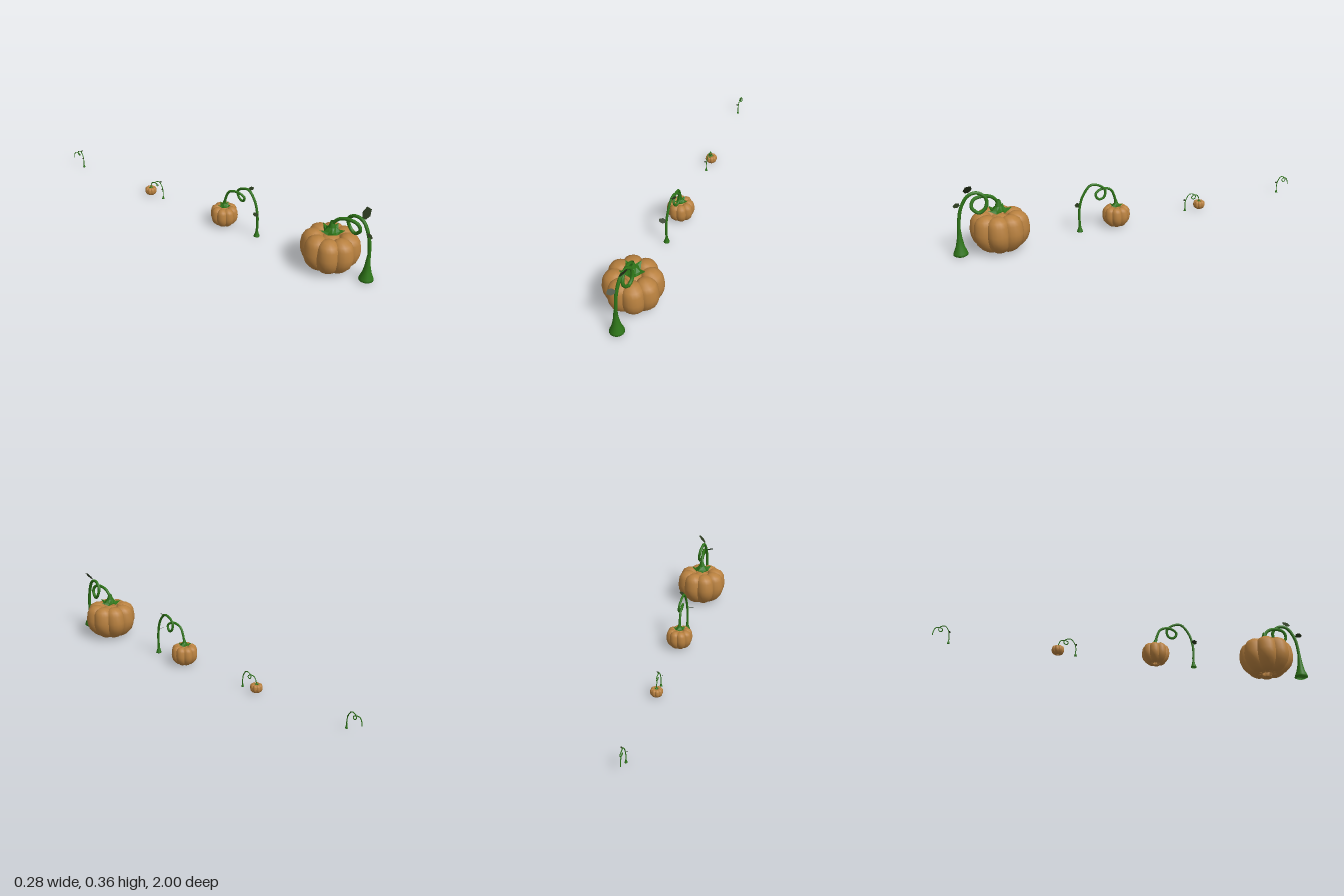
import * as THREE from 'three';
import { mergeVertices } from 'three/addons/utils/BufferGeometryUtils.js';

const mat = (color, side = THREE.FrontSide) => new THREE.MeshStandardMaterial({ color, side });
const orange = mat(0xb9813f);
const green = mat(0x2e7518, THREE.DoubleSide);
const leafGreen = mat(0x29381c, THREE.DoubleSide);

function add(parent, name, geometry, material) {
  const mesh = new THREE.Mesh(geometry, material);
  mesh.name = name;
  parent.add(mesh);
  return mesh;
}

// One pumpkin segment: stacked circles of radius r, shifted outward by d. Rows are [y, d, r].
const LOBE = [
  [0.018, 0.03, 0], [0.006, 0.045, 0.018], [0.008, 0.055, 0.03], [0.022, 0.065, 0.041],
  [0.05, 0.08, 0.051], [0.08, 0.088, 0.054], [0.107, 0.09, 0.055], [0.15, 0.087, 0.052],
  [0.172, 0.083, 0.044], [0.186, 0.08, 0.025], [0.189, 0.076, 0],
];
function lobeGeometry() {
  let geo = new THREE.LatheGeometry(LOBE.map(([y, , r]) => new THREE.Vector2(r, y)), 16);
  const p = geo.attributes.position;
  for (let i = 0; i < p.count; i++) p.setX(i, p.getX(i) + LOBE[i % LOBE.length][1]);
  geo.deleteAttribute('uv');
  geo.deleteAttribute('normal');
  geo = mergeVertices(geo, 1e-5);
  geo.computeVertexNormals();
  return geo;
}

function pumpkin(z, sx, sy) {
  const g = new THREE.Group();
  g.name = 'pumpkin';
  const lobe = lobeGeometry();
  for (let i = 0; i < 8; i++) {
    add(g, 'pumpkinSegment', lobe, orange).rotation.y = (i + 0.5) * Math.PI / 4;
  }
  const core = add(g, 'pumpkinCore', new THREE.SphereGeometry(1, 16, 10), orange);
  core.scale.set(0.075, 0.077, 0.075);
  core.position.y = 0.1;
  g.scale.set(sx, sy, sx);
  g.position.z = z;
  return g;
}

// Five-pointed cap whose tips curl up, running into the stem
function calyx(z, y, s) {
  const rings = [[0.009, 0.009, 0.058, 0.058], [0.018, 0.018, 0.028, 0.028], [0.038, 0.03, 0.01, 0.008], [0.063, 0.036, 0.018, -0.004]];
  const pos = [], idx = [];
  for (const [tip, gap, yTip, yGap] of rings) {
    for (let i = 0; i < 10; i++) {
      const a = i * Math.PI / 5 + 0.3, r = i % 2 ? gap : tip;
      pos.push(r * Math.sin(a), i % 2 ? yGap : yTip, r * Math.cos(a));
    }
  }
  for (let k = 0; k < rings.length - 1; k++) {
    for (let i = 0; i < 10; i++) {
      const a = k * 10 + i, b = k * 10 + (i + 1) % 10;
      idx.push(a, a + 10, b, b, a + 10, b + 10);
    }
  }
  const geo = new THREE.BufferGeometry();
  geo.setAttribute('position', new THREE.Float32BufferAttribute(pos, 3));
  geo.setIndex(idx);
  const flat = geo.toNonIndexed();
  flat.computeVertexNormals();
  const mesh = new THREE.Mesh(flat, green);
  mesh.name = 'calyx';
  mesh.position.set(0, y, z);
  mesh.scale.setScalar(s);
  return mesh;
}

// Flat leaf growing from base along dir, spread to both sides along wide
const LEAF = new THREE.Shape([[0, -0.2], [0.45, -0.5], [1, -0.3], [1, 0.3], [0.45, 0.5], [0, 0.2]]
  .map(([u, v]) => new THREE.Vector2(u, v)));
function leaf(base, dir, wide) {
  const u = new THREE.Vector3(...dir), v = new THREE.Vector3(...wide);
  const n = u.clone().cross(v).normalize();
  const m = new THREE.Matrix4().makeBasis(u, v, n).setPosition(...base);
  const geo = new THREE.ShapeGeometry(LEAF).applyMatrix4(m);
  geo.computeVertexNormals();
  const mesh = new THREE.Mesh(geo, leafGreen);
  mesh.name = 'leaf';
  return mesh;
}

// Vine paths as [x, y, z] with the root at z = 0
const BIG_VINE = [
  [0.003, 0.06, 0], [0.003, 0.15, 0], [0.005, 0.24, -0.015], [0.012, 0.3, -0.052],
  [0.017, 0.308, -0.095], [0.026, 0.278, -0.132], [0.032, 0.235, -0.127], [0.026, 0.211, -0.095],
  [0.016, 0.241, -0.063], [0.01, 0.273, -0.075], [0.006, 0.284, -0.116], [0.003, 0.273, -0.165],
  [0, 0.241, -0.194], [0, 0.185, -0.2],
];
const SMALL_VINE = [
  [0, 0.02, 0], [0, 0.123, 0], [0.004, 0.198, -0.021], [0.008, 0.246, -0.064],
  [0.012, 0.236, -0.112], [0.018, 0.209, -0.138], [0.02, 0.173, -0.128], [0.014, 0.167, -0.101],
  [0.008, 0.193, -0.088], [0.002, 0.214, -0.123], [0, 0.203, -0.176], [0, 0.16, -0.199], [0, 0.105, -0.208],
];

function vine(path, z, [sx, sy, sz], radius, flare) {
  const g = new THREE.Group();
  g.name = 'vine';
  const pts = path.map(([x, y, pz]) => new THREE.Vector3(x * sx, y * sy, pz * sz));
  add(g, 'stem', new THREE.TubeGeometry(new THREE.CatmullRomCurve3(pts), 70, radius, 8), green);
  // Trumpet-shaped root, open below
  const profile = [[0.028, 0.003], [0.036, 0.008], [0.034, 0.018], [0.022, 0.048], [0.014, 0.085], [0.008, 0.14]]
    .map(([r, y]) => new THREE.Vector2(Math.max(r * flare, radius * 0.9), y * flare));
  add(g, 'root', new THREE.LatheGeometry(profile, 14), green);
  g.position.z = z;
  return g;
}

export function createModel() {
  const model = new THREE.Group();
  model.name = 'pumpkinGrowthStages';
  const stage = (name, ...parts) => {
    const g = new THREE.Group();
    g.name = name;
    g.add(...parts);
    model.add(g);
  };

  stage('ripePlant',
    pumpkin(0.765, 1, 1),
    calyx(0.765, 0.192, 1),
    vine(BIG_VINE, 0.964, [1, 1, 1], 0.0085, 1),
    leaf([0.01, 0.313, 0.915], [0.036, 0.042, 0.004], [-0.006, -0.006, 0.042]),
    leaf([0.004, 0.25, 0.958], [-0.034, 0.002, 0.012], [0.004, -0.018, 0.026]));

  stage('youngPlant',
    pumpkin(0.137, 0.5, 0.56),
    calyx(0.137, 0.106, 0.58),
    vine(SMALL_VINE, 0.345, [1, 1, 1], 0.0065, 0.43),
    leaf([0.006, 0.246, 0.285], [0.026, 0.01, 0.004], [-0.002, 0.002, 0.03]),
    leaf([0, 0.138, 0.345], [-0.036, 0.004, 0.004], [0.004, -0.014, 0.024]));

  stage('buddingPlant',
    pumpkin(-0.378, 0.225, 0.235),
    calyx(-0.378, 0.042, 0.2),
    vine(SMALL_VINE, -0.287, [0.45, 0.385, 0.44], 0.0024, 0.2),
    leaf([0.003, 0.093, -0.313], [0.012, 0.005, 0.002], [0, 0, 0.012]),
    leaf([0, 0.06, -0.287], [-0.012, 0.003, 0.002], [0.002, -0.005, 0.01]));

  stage('seedling',
    vine(SMALL_VINE, -0.918, [0.45, 0.385, 0.385], 0.0024, 0.2),
    leaf([0.003, 0.093, -0.942], [0.012, 0.005, 0.002], [0, 0, 0.012]),
    leaf([0, 0.06, -0.918], [-0.012, 0.003, 0.002], [0.002, -0.005, 0.01]));

  return model;
}
